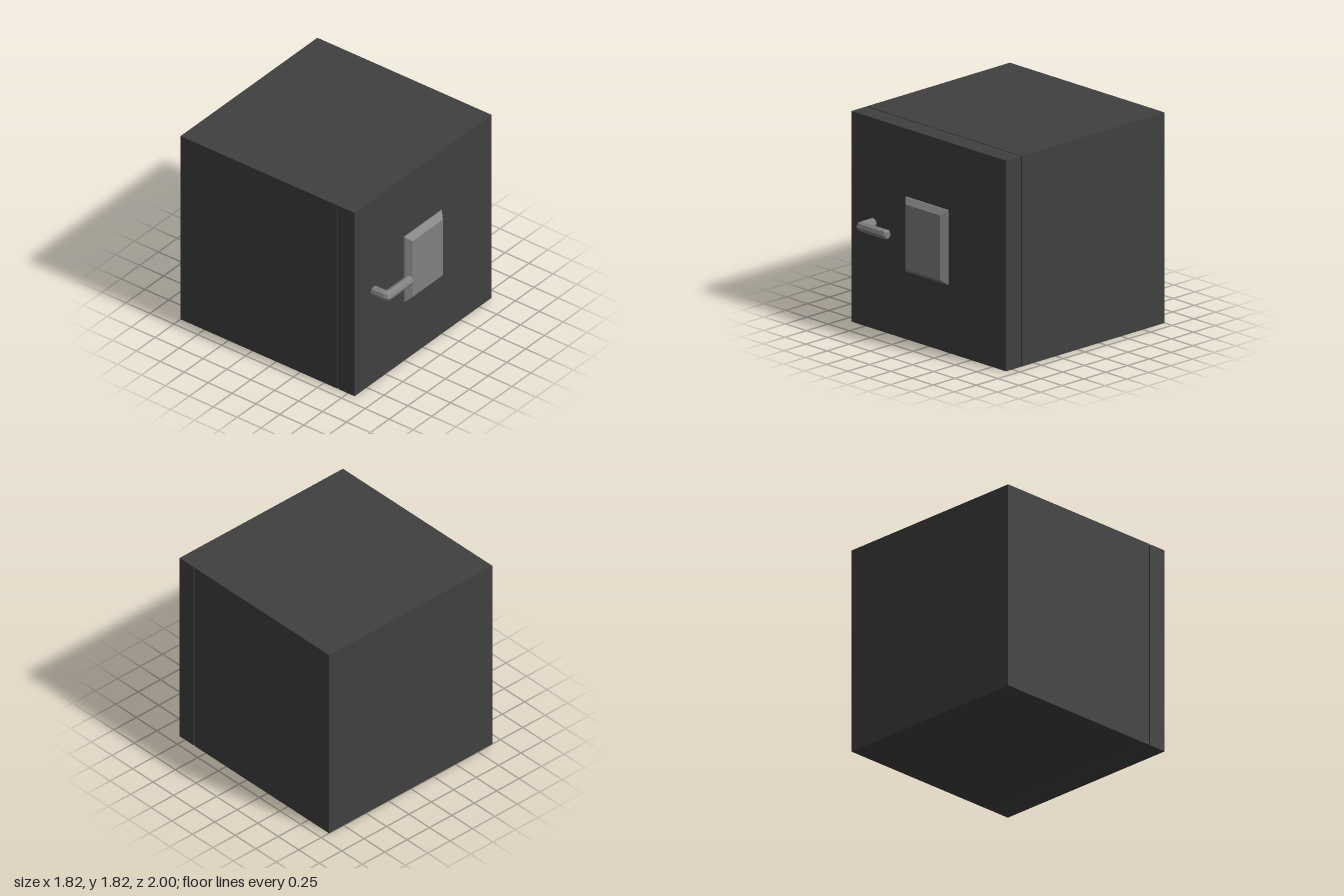
import * as THREE from 'three';

const W = 1.824, H = 1.824;
const mat = (color, opts = {}) => new THREE.MeshStandardMaterial({ color, ...opts });

function box(name, w, h, z0, z1, material) {
  const mesh = new THREE.Mesh(new THREE.BoxGeometry(w, h, z1 - z0), material);
  mesh.position.set(0, H / 2, (z0 + z1) / 2);
  mesh.name = name;
  return mesh;
}

// Plate with a short straight rim and a bevelled front
function bevelPlate(w, h, depth, rim, inset) {
  const g = new THREE.BoxGeometry(w, h, depth, 1, 1, 2);
  const p = g.attributes.position;
  for (let i = 0; i < p.count; i++) {
    const z = p.getZ(i);
    if (z > depth / 4) {
      p.setX(i, p.getX(i) - Math.sign(p.getX(i)) * inset);
      p.setY(i, p.getY(i) - Math.sign(p.getY(i)) * inset);
    } else if (z > -depth / 4) p.setZ(i, -depth / 2 + rim);
  }
  const flat = g.toNonIndexed();
  flat.computeVertexNormals();
  return flat;
}

// Eight-sided bar lofted through stations [innerX, innerZ, outerX, outerZ, half height]
function bentBar(stations, sides = 8) {
  const pos = [], idx = [];
  for (const [ix, iz, ox, oz, r] of stations) {
    for (let i = 0; i < sides; i++) {
      const a = (i / sides) * Math.PI * 2, c = Math.cos(a) / 2;
      pos.push((ix + ox) / 2 + (ox - ix) * c, Math.sin(a) * r, (iz + oz) / 2 + (oz - iz) * c);
    }
  }
  for (let s = 0; s < stations.length - 1; s++) {
    for (let i = 0; i < sides; i++) {
      const a = s * sides + i, b = s * sides + ((i + 1) % sides);
      idx.push(a, b + sides, b, a, a + sides, b + sides);
    }
  }
  // End cap
  const e = (stations.length - 1) * sides;
  for (let i = 1; i < sides - 1; i++) idx.push(e, e + i + 1, e + i);
  const g = new THREE.BufferGeometry();
  g.setAttribute('position', new THREE.Float32BufferAttribute(pos, 3));
  g.setIndex(idx);
  const flat = g.toNonIndexed();
  flat.computeVertexNormals();
  return flat;
}

export function createModel() {
  const group = new THREE.Group();
  group.name = 'safe';
  const dark = mat(0x404040);
  const grey = mat(0x808080, { flatShading: true });

  // Cabinet and door, with a recessed core showing in the seam
  group.add(
    box('cabinet', W, H, -1, 0.64, dark),
    box('seamCore', W - 0.02, H - 0.02, 0.6, 0.69, dark),
    box('door', W, H, 0.65, 0.82, dark),
  );

  // Bevelled panel on the door
  const panel = new THREE.Mesh(bevelPlate(0.495, 0.645, 0.058, 0.012, 0.045), grey);
  panel.position.set(-0.012, 0.915, 0.849);
  panel.name = 'doorPanel';
  group.add(panel);

  // Lever handle: stem out of the door, chamfered corner, arm with a bevelled tip
  const r = 0.043;
  const handle = new THREE.Mesh(bentBar([
    [-0.613, 0.81, -0.699, 0.81, r],
    [-0.613, 0.905, -0.699, 0.955, r],
    [-0.606, 0.912, -0.686, 0.988, r],
    [-0.598, 0.914, -0.655, 1.0, r],
    [-0.355, 0.914, -0.355, 1.0, r],
    [-0.341, 0.925, -0.341, 0.989, r * 0.75],
  ]), grey);
  handle.position.y = 0.916;
  handle.name = 'handle';
  group.add(handle);

  return group;
}
